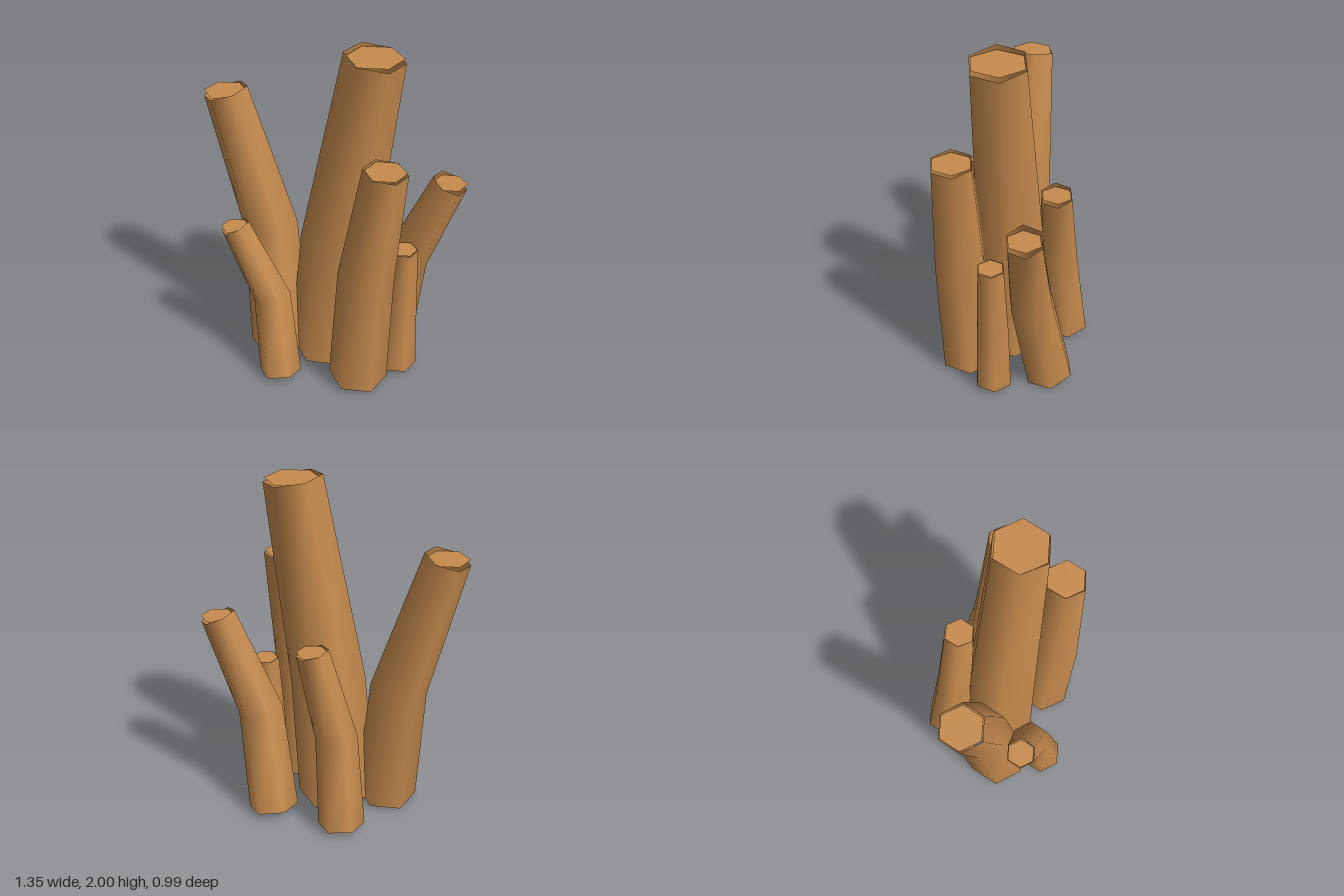
import * as THREE from 'three';

const SIDES = 6;
const UP = new THREE.Vector3(0, 1, 0);

// Each stem: base, bend and tip centres, then the radius at each
const STEMS = [
  { name: 'tallStem', path: [[0.02, 0.03, -0.005], [0.075, 0.8, -0.015], [0.27, 1.977, -0.05]], radii: [0.233, 0.216, 0.164] },
  { name: 'leftStem', path: [[-0.235, 0.03, 0.15], [-0.337, 0.81, 0.09], [-0.568, 1.635, 0.16]], radii: [0.18, 0.162, 0.127] },
  { name: 'rightFrontStem', path: [[0.328, 0.03, 0.13], [0.378, 0.77, 0.145], [0.468, 1.457, 0.122]], radii: [0.17, 0.157, 0.121] },
  { name: 'rightBackStem', path: [[0.243, 0.031, -0.352], [0.362, 0.63, -0.29], [0.587, 1.2, -0.357]], radii: [0.146, 0.131, 0.102] },
  { name: 'leftBackStem', path: [[-0.188, 0.03, -0.272], [-0.13, 0.58, -0.235], [0.003, 1.1, -0.27]], radii: [0.135, 0.121, 0.094] },
  { name: 'smallFrontStem', path: [[-0.06, 0.03, 0.373], [-0.147, 0.51, 0.325], [-0.35, 0.943, 0.383]], radii: [0.122, 0.11, 0.085] },
  { name: 'smallSideStem', path: [[0.455, 0.03, -0.1], [0.455, 0.44, -0.098], [0.467, 0.853, -0.097]], radii: [0.112, 0.1, 0.08] },
];

// Open tapered tube whose rings sit square to the path
function stemWall(points, radii) {
  const positions = [];
  const indices = [];
  points.forEach((p, i) => {
    const tangent = new THREE.Vector3();
    if (i > 0) tangent.add(p.clone().sub(points[i - 1]).normalize());
    if (i < points.length - 1) tangent.add(points[i + 1].clone().sub(p).normalize());
    const turn = new THREE.Quaternion().setFromUnitVectors(UP, tangent.normalize());
    for (let j = 0; j < SIDES; j++) {
      const a = (j / SIDES) * Math.PI * 2;
      const v = new THREE.Vector3(Math.sin(a), 0, Math.cos(a)).multiplyScalar(radii[i]);
      positions.push(...v.applyQuaternion(turn).add(p).toArray());
      if (i < points.length - 1) {
        const k = (j + 1) % SIDES;
        const a0 = i * SIDES + j, b0 = i * SIDES + k;
        indices.push(a0, b0, b0 + SIDES, a0, b0 + SIDES, a0 + SIDES);
      }
    }
  });
  const geometry = new THREE.BufferGeometry();
  geometry.setAttribute('position', new THREE.Float32BufferAttribute(positions, 3));
  geometry.setIndex(indices);
  geometry.computeVertexNormals();
  return geometry;
}

export function createModel() {
  const model = new THREE.Group();
  model.name = 'stemCluster';
  const brown = new THREE.MeshStandardMaterial({ color: 0xc68b4e, side: THREE.DoubleSide });
  brown.name = 'warm brown';

  for (const { name, path, radii } of STEMS) {
    const points = path.map((p) => new THREE.Vector3(...p));
    const stem = new THREE.Group();
    stem.name = name;

    const wall = new THREE.Mesh(stemWall(points, radii), brown);
    wall.name = 'stemWall';

    // Level disc set in the tilted mouth
    const disc = new THREE.CircleGeometry(radii[2] * 0.95, SIDES);
    disc.rotateX(-Math.PI / 2).rotateY(Math.PI / 2);
    const cap = new THREE.Mesh(disc, brown);
    cap.name = 'stemCap';
    cap.position.copy(points[2]);

    stem.add(wall, cap);
    model.add(stem);
  }
  return model;
}
